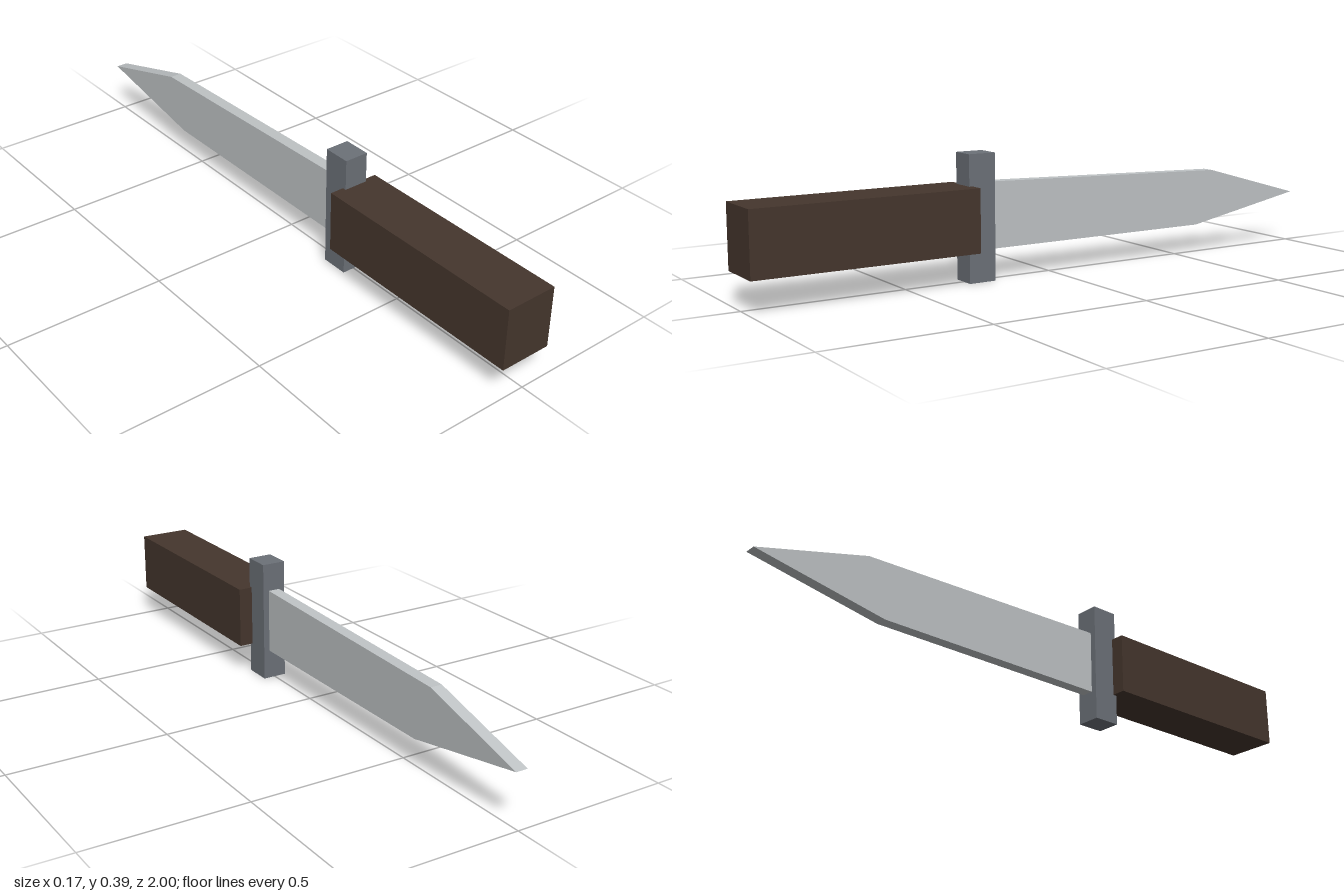
import * as THREE from 'three';

export function createModel() {
  const group = new THREE.Group();
  const wood = new THREE.MeshStandardMaterial({ name: 'dark wood', color: 0x45362d });
  const iron = new THREE.MeshStandardMaterial({ name: 'grey iron', color: 0x6c7178 });
  const steel = new THREE.MeshStandardMaterial({ name: 'pale steel', color: 0xbfc3c5 });

  const add = (name, geometry, material) => {
    const mesh = new THREE.Mesh(geometry, material);
    mesh.name = name;
    group.add(mesh);
    return mesh;
  };

  // Square grip, overlapping the guard slightly
  add('handle', new THREE.BoxGeometry(0.166, 0.194, 0.708), wood).position.set(0, 0.195, 0.646);

  // Upright cross guard
  add('guard', new THREE.BoxGeometry(0.077, 0.388, 0.088), iron).position.set(0, 0.194, 0.26);

  // Flat blade: side outline as (distance towards the back, height)
  const outline = [[-0.22, 0.094], [0.575, 0.094], [1, 0.172], [0.64, 0.273], [-0.22, 0.299]];
  const shape = new THREE.Shape(outline.map(([u, v]) => new THREE.Vector2(u, v)));
  const thickness = 0.038;
  const blade = new THREE.ExtrudeGeometry(shape, { depth: thickness, bevelEnabled: false });
  blade.translate(0, 0, -thickness / 2).rotateY(Math.PI / 2);
  add('blade', blade, steel);

  return group;
}
